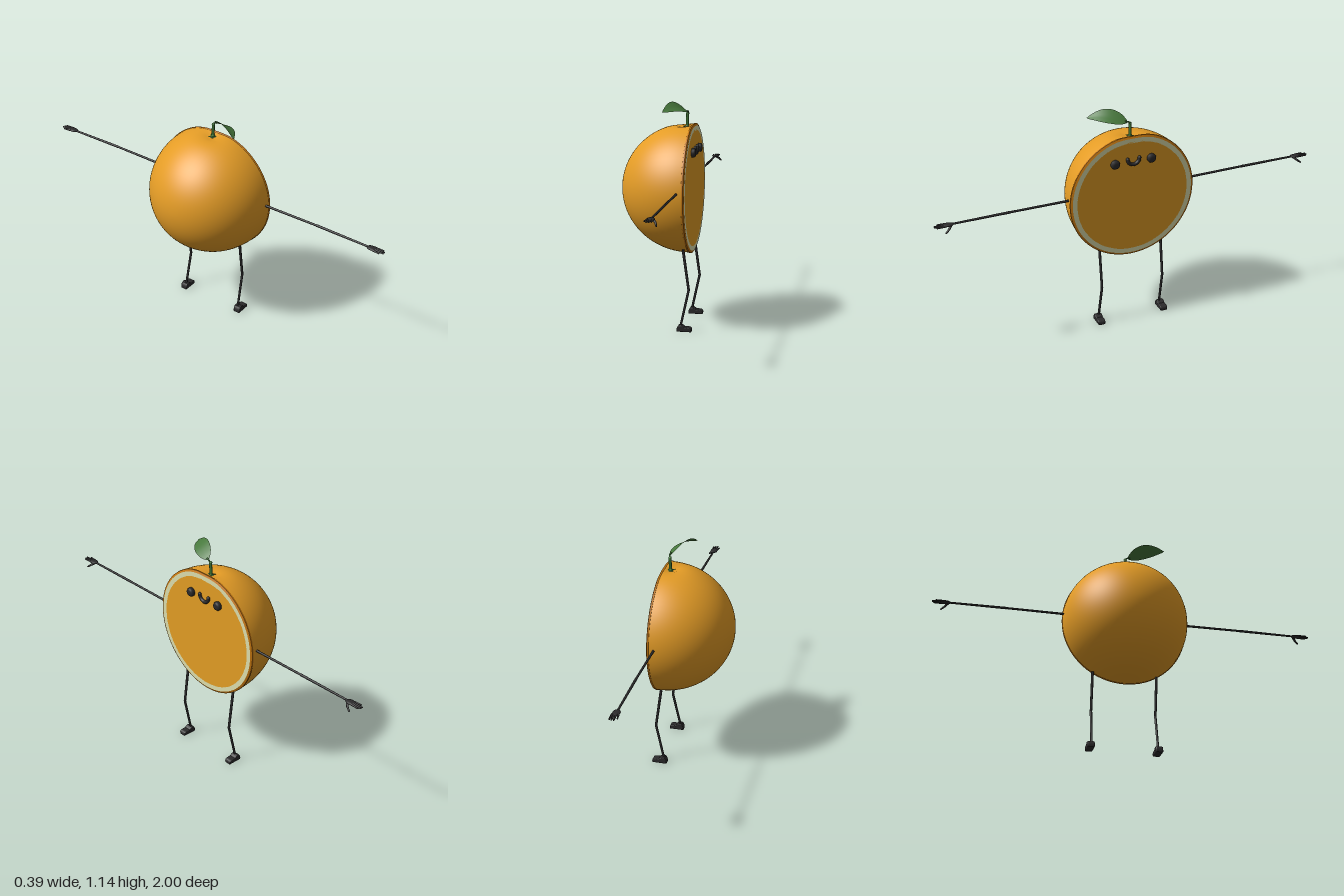
import * as THREE from 'three';
import { mergeVertices } from 'three/addons/utils/BufferGeometryUtils.js';

const mat = (name, color, side = THREE.FrontSide) => {
  const m = new THREE.MeshStandardMaterial({ color, side });
  m.name = name;
  return m;
};
const V = (x, y, z) => new THREE.Vector3(x, y, z);
const CY = 0.699; // height of the fruit's centre

export function createModel() {
  const peel = mat('peelOrange', 0xe49c26);
  const rimMat = mat('rimOrange', 0xc4760f);
  const pithMat = mat('pithCream', 0xdedfae);
  const fleshMat = mat('fleshOrange', 0xe49e25);
  const black = mat('black', 0x2b2a2b);
  const green = mat('stemGreen', 0x427a38);
  const leafMat = mat('leafGreen', 0x47783c, THREE.DoubleSide);

  const root = new THREE.Group();
  root.name = 'halfFruitCharacter';
  const add = (name, geo, material, parent = root) => {
    const m = new THREE.Mesh(geo, material);
    m.name = name;
    parent.add(m);
    return m;
  };

  // Revolves [x, radius] points about the x axis, then sinks a dimple at the stem
  const revolve = (pts) => {
    let g = new THREE.LatheGeometry(pts.map(([x, r]) => new THREE.Vector2(r, x)), 72);
    g.rotateZ(-Math.PI / 2).translate(0, CY, 0);
    g.deleteAttribute('uv');
    g.deleteAttribute('normal');
    g = mergeVertices(g, 1e-5);
    const p = g.attributes.position;
    for (let i = 0; i < p.count; i++) {
      if (p.getY(i) < CY) continue;
      const dx = p.getX(i) - 0.12, z = p.getZ(i);
      const d2 = dx * dx * 1.4 + z * z;
      p.setY(i, p.getY(i) - 0.014 * Math.exp(-d2 / 0.005) - 0.010 * Math.exp(-d2 / 0.0006));
    }
    g.computeVertexNormals();
    return g;
  };

  // Domed peel, bevelled rim and the cut face
  const dome = [];
  for (let i = 0; i <= 28; i++) {
    const a = (i / 28) * Math.PI / 2;
    dome.push([0.15 - 0.345 * Math.cos(a), 0.326 * Math.sin(a)]);
  }
  dome.push([0.158, 0.326]);
  add('peel', revolve(dome), peel);
  add('rimSide', revolve([[0.157, 0.325], [0.159, 0.329], [0.166, 0.328]]), rimMat);
  add('rimBevel', revolve([[0.166, 0.328], [0.171, 0.317]]), rimMat);
  add('pith', revolve([[0.171, 0.317], [0.171, 0.293]]), pithMat);
  add('flesh', new THREE.CircleGeometry(0.294, 64).rotateY(Math.PI / 2).translate(0.171, CY, 0), fleshMat);

  // Face: button eyes and a curved smile
  const eyeProfile = [[0, -0.01], [0.022, -0.01], [0.023, 0.012], [0.019, 0.019], [0.01, 0.021], [0, 0.021]]
    .map(([r, y]) => new THREE.Vector2(r, y));
  for (const s of [1, -1]) {
    const eye = add(s > 0 ? 'rightEye' : 'leftEye', new THREE.LatheGeometry(eyeProfile, 20).rotateZ(-Math.PI / 2), black);
    eye.position.set(0.17, 0.89, s * 0.096);
  }
  const smile = new THREE.Group();
  smile.name = 'smile';
  root.add(smile);
  const smileArc = new THREE.TorusGeometry(0.031, 0.009, 10, 24, Math.PI);
  add('smileCurve', smileArc.rotateZ(Math.PI).rotateY(Math.PI / 2).translate(0.178, 0.906, 0), black, smile);
  for (const s of [1, -1]) {
    add('smileEnd', new THREE.SphereGeometry(0.009, 10, 8).translate(0.178, 0.906, s * 0.031), black, smile);
  }

  // Tapered limb segment between two points, with a rounded end
  const bone = (name, a, b, ra, rb, parent) => {
    const dir = b.clone().sub(a);
    const m = add(name, new THREE.CylinderGeometry(rb, ra, dir.length(), 10), black, parent);
    m.position.copy(a).addScaledVector(dir, 0.5);
    m.quaternion.setFromUnitVectors(V(0, 1, 0), dir.normalize());
    add(name + 'End', new THREE.SphereGeometry(rb, 10, 8), black, parent).position.copy(b);
  };

  // Shoe side profile
  const shoe = new THREE.Shape();
  shoe.moveTo(0.116, 0.004);
  shoe.lineTo(0.183, 0.004);
  shoe.quadraticCurveTo(0.186, 0.019, 0.17, 0.019);
  shoe.lineTo(0.15, 0.02);
  shoe.quadraticCurveTo(0.142, 0.028, 0.134, 0.03);
  shoe.lineTo(0.124, 0.028);
  shoe.quadraticCurveTo(0.115, 0.017, 0.116, 0.004);

  for (const s of [1, -1]) {
    const side = s > 0 ? 'right' : 'left';

    // Arm stretched sideways, with palm, four fingers and a drooping thumb
    const arm = new THREE.Group();
    arm.name = side + 'Arm';
    root.add(arm);
    bone('upperArm', V(0.133, 0.72, s * 0.3), V(0.134, 0.722, s * 0.62), 0.006, 0.0055, arm);
    bone('forearm', V(0.134, 0.722, s * 0.62), V(0.132, 0.72, s * 0.91), 0.0065, 0.005, arm);
    const palm = add('palm', new THREE.SphereGeometry(1, 14, 10), black, arm);
    palm.scale.set(0.019, 0.007, 0.029);
    palm.position.set(0.132, 0.72, s * 0.932);
    [[-0.013, -0.019, 0.979], [-0.004, -0.007, 0.996], [0.004, 0.004, 0.996], [0.012, 0.014, 0.987]]
      .forEach(([x0, x1, z]) =>
        bone('finger', V(0.132 + x0, 0.72, s * 0.942), V(0.132 + x1, 0.719, s * z), 0.0055, 0.0035, arm));
    bone('thumbBase', V(0.139, 0.719, s * 0.918), V(0.154, 0.706, s * 0.933), 0.007, 0.0055, arm);
    bone('thumbTip', V(0.154, 0.706, s * 0.933), V(0.161, 0.693, s * 0.95), 0.0055, 0.004, arm);

    // Leg bent forward at the knee, and shoe
    const leg = new THREE.Group();
    leg.name = side + 'Leg';
    root.add(leg);
    const knee = V(0.17, 0.21, s * 0.167);
    bone('thigh', V(0.141, 0.415, s * 0.167), knee, 0.007, 0.0065, leg);
    bone('shin', knee, V(0.13, 0.024, s * 0.17), 0.0065, 0.006, leg);
    const foot = new THREE.ExtrudeGeometry(shoe, {
      depth: 0.028, bevelEnabled: true, bevelThickness: 0.005, bevelSize: 0.004, bevelSegments: 3, curveSegments: 6,
    });
    add('shoe', foot.translate(0, 0, s * 0.174 - 0.014), black, leg);
  }

  // Stem with a small flared, five-pointed base
  const stemPath = new THREE.CatmullRomCurve3([V(0.131, 0.995, 0), V(0.132, 1.035, 0), V(0.133, 1.074, 0)]);
  add('stem', new THREE.TubeGeometry(stemPath, 10, 0.0075, 10), green);
  add('stemTop', new THREE.SphereGeometry(0.0085, 12, 8).translate(0.133, 1.073, 0), green);
  const calyx = new THREE.Group();
  calyx.name = 'stemBase';
  calyx.position.set(0.131, 1.008, 0);
  root.add(calyx);
  add('stemFlare', new THREE.CylinderGeometry(0.007, 0.015, 0.018, 12), green, calyx);
  for (let i = 0; i < 5; i++) {
    const a = (i / 5) * Math.PI * 2;
    const tip = add('sepal', new THREE.ConeGeometry(0.008, 0.024, 6).rotateZ(-Math.PI / 2), green, calyx);
    tip.position.set(Math.cos(a) * 0.016, 0, Math.sin(a) * 0.016);
    tip.rotation.y = -a;
    tip.scale.y = 0.5;
  }
  const stalk = new THREE.CatmullRomCurve3([V(0.133, 1.07, 0), V(0.137, 1.084, 0.008), V(0.132, 1.088, 0.026)]);
  add('leafStalk', new THREE.TubeGeometry(stalk, 8, 0.004, 8), green);

  // Leaf: cross-sections along an arched midrib, tilted and slightly folded
  const midrib = new THREE.CatmullRomCurve3([
    V(0.135, 1.083, 0.012), V(0.122, 1.1, 0.05), V(0.1, 1.113, 0.1), V(0.074, 1.112, 0.145), V(0.04, 1.097, 0.188),
  ]);
  const rows = 18, cols = 8, pos = [], idx = [];
  for (let i = 0; i <= rows; i++) {
    const t = i / rows, c = midrib.getPoint(t);
    const w = 0.036 * Math.pow(Math.sin(Math.PI * Math.pow(t, 0.9)), 0.85) + 0.0005;
    for (let j = 0; j <= cols; j++) {
      const u = (j / cols) * 2 - 1;
      pos.push(c.x + u * w * 0.84, c.y - u * w * 0.62 + Math.abs(u) * w * 0.1, c.z + u * w * 0.42);
      if (i < rows && j < cols) {
        const a = i * (cols + 1) + j, b = a + cols + 1;
        idx.push(a, b, a + 1, a + 1, b, b + 1);
      }
    }
  }
  const leaf = new THREE.BufferGeometry();
  leaf.setAttribute('position', new THREE.Float32BufferAttribute(pos, 3));
  leaf.setIndex(idx);
  leaf.computeVertexNormals();
  add('leaf', leaf, leafMat);

  return root;
}
